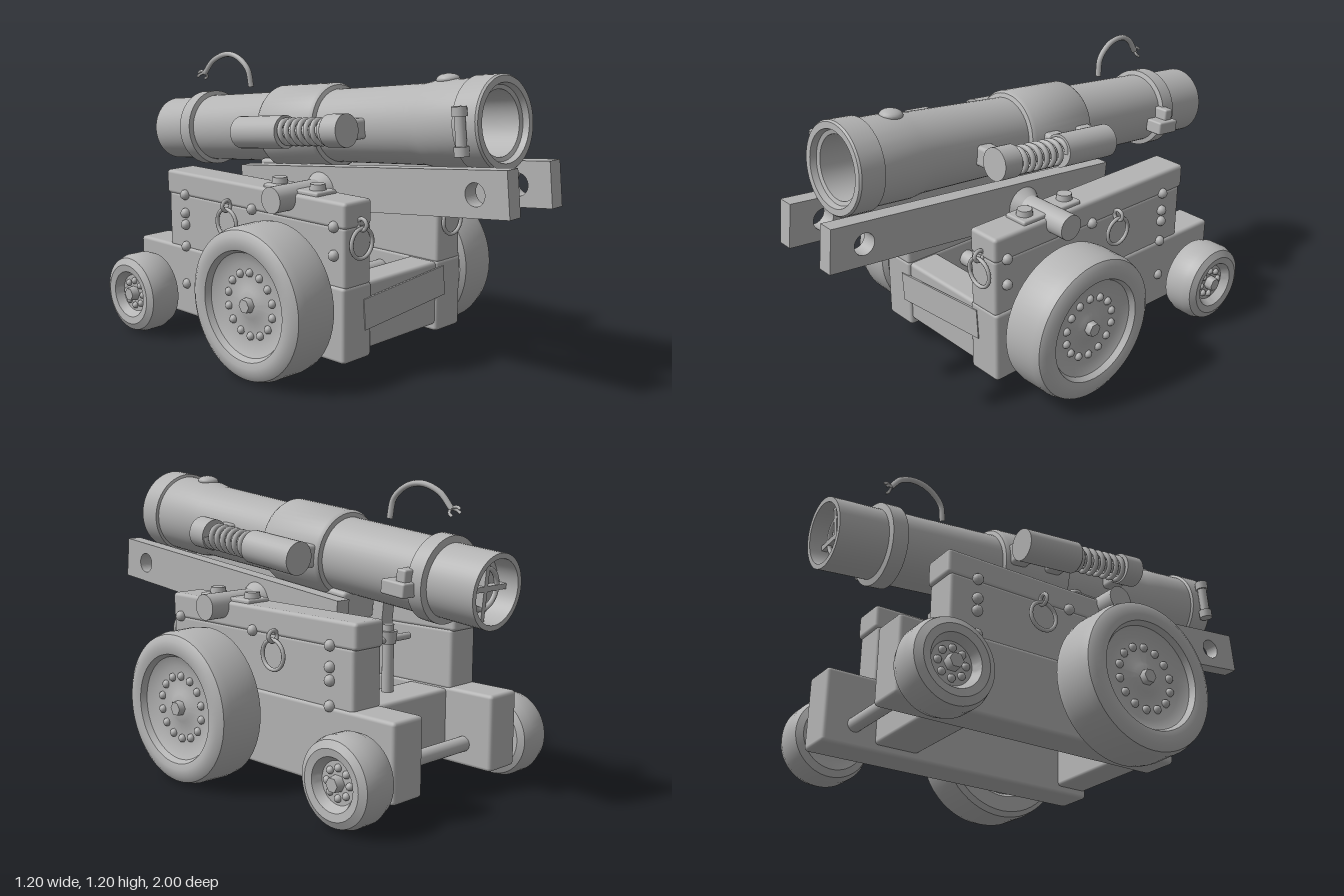
import * as THREE from 'three';
import { toCreasedNormals } from 'three/addons/utils/BufferGeometryUtils.js';
import { RoundedBoxGeometry } from 'three/addons/geometries/RoundedBoxGeometry.js';

const TILT = THREE.MathUtils.degToRad(6);
const gray = new THREE.MeshStandardMaterial({ color: 0xb4b4b4 });
gray.name = 'plain gray';

function add(parent, name, geo, x = 0, y = 0, z = 0) {
  const m = new THREE.Mesh(geo, gray);
  m.name = name;
  m.position.set(x, y, z);
  parent.add(m);
  return m;
}
// Block given by its min and max on each axis
function block(parent, name, [x0, x1], [y0, y1], [z0, z1], r = 0.015) {
  return add(parent, name, new RoundedBoxGeometry(Math.abs(x1 - x0), y1 - y0, z1 - z0, 2, r),
    (x0 + x1) / 2, (y0 + y1) / 2, (z0 + z1) / 2);
}
const lathe = (pts, seg = 48) =>
  toCreasedNormals(new THREE.LatheGeometry(pts.map(p => new THREE.Vector2(...p)), seg), 0.6);
// Cylinder along x or z
function rod(parent, name, axis, r, len, x, y, z, seg = 24) {
  const g = new THREE.CylinderGeometry(r, r, len, seg);
  if (axis === 'x') g.rotateZ(Math.PI / 2);
  if (axis === 'z') g.rotateX(Math.PI / 2);
  return add(parent, name, g, x, y, z);
}
function tube(pts, r, n) {
  return new THREE.TubeGeometry(new THREE.CatmullRomCurve3(pts), n, r, 8);
}

// Wheel whose local +y points outward
function wheel(name, s, x, y, z, profile, bolts, boltRing, boltR, face) {
  const g = new THREE.Group();
  g.name = name;
  g.position.set(s * x, y, z);
  g.rotation.z = -s * Math.PI / 2;
  add(g, 'tyre', lathe(profile, 56));
  for (let i = 0; i < bolts; i++) {
    const a = i / bolts * Math.PI * 2;
    add(g, 'wheelBolt', new THREE.SphereGeometry(boltR, 10, 8), boltRing * Math.cos(a), face, boltRing * Math.sin(a));
  }
  add(g, 'hub', new THREE.CylinderGeometry(0.028, 0.032, 0.04, 6), 0, face + 0.015, 0);
  return g;
}

// Iron ring hanging from a staple, lying in the xy plane
function hangingRing(parent, x, y, z, turn) {
  const g = new THREE.Group();
  g.name = 'tieRing';
  g.position.set(x, y, z);
  g.rotation.y = turn;
  add(g, 'ring', new THREE.TorusGeometry(0.058, 0.008, 8, 32));
  add(g, 'staple', new THREE.TorusGeometry(0.022, 0.008, 8, 16), 0, 0.072, 0).rotation.y = Math.PI / 2;
  parent.add(g);
}

function buildGun() {
  const gun = new THREE.Group();
  gun.name = 'gun';
  gun.position.y = 0.93;
  gun.rotation.x = -TILT;

  // Barrel with bands, bore and hollow breech
  add(gun, 'barrel', lathe([
    [0, -0.9], [0.12, -0.9], [0.12, -0.99], [0.14, -0.99], [0.14, -0.785], [0.165, -0.78], [0.165, -0.715],
    [0.145, -0.71], [0.148, -0.27], [0.165, -0.265], [0.174, -0.25], [0.174, 0.04], [0.165, 0.055], [0.148, 0.06],
    [0.155, 0.52], [0.165, 0.58], [0.165, 0.755], [0.176, 0.76], [0.176, 0.86], [0.17, 0.868], [0.145, 0.868],
    [0.138, 0.845], [0.122, 0.84], [0.122, -0.6], [0, -0.6]]).rotateX(Math.PI / 2));
  // Breech cross
  for (const a of [0, Math.PI / 2]) {
    add(gun, 'breechSpoke', new THREE.BoxGeometry(0.24, 0.02, 0.03), 0, 0, -0.925).rotation.z = a;
  }
  add(gun, 'breechRing', new THREE.TorusGeometry(0.075, 0.01, 8, 32), 0, 0, -0.93);
  // Knob on top and bolt beside the muzzle
  add(gun, 'topKnob', new THREE.SphereGeometry(0.045, 20, 12).scale(1, 0.5, 1), 0, 0.165, 0.62);
  add(gun, 'muzzleBolt', new THREE.CylinderGeometry(0.02, 0.02, 0.15, 16), -0.192, -0.01, 0.81);
  for (const v of [-0.08, 0.06]) {
    add(gun, 'boltEnd', new THREE.CylinderGeometry(0.028, 0.028, 0.035, 16), -0.192, v, 0.81);
  }
  // Firing lock on the breech band
  block(gun, 'lockBody', [0.13, 0.2], [-0.04, 0.045], [-0.735, -0.69], 0.008);
  block(gun, 'lockPlate', [0.14, 0.22], [-0.055, 0.0], [-0.75, -0.64], 0.008);

  for (const s of [-1, 1]) {
    // Slide rail with lifting hole
    const shape = new THREE.Shape([[-0.386, -0.32], [0.977, -0.32], [0.977, -0.147], [-0.386, -0.147]]
      .map(p => new THREE.Vector2(...p)));
    shape.holes.push(new THREE.Path().absarc(0.835, -0.235, 0.043, 0, Math.PI * 2, true));
    add(gun, 'slideRail', new THREE.ExtrudeGeometry(shape, { depth: 0.065, bevelEnabled: false, curveSegments: 24 })
      .rotateY(-Math.PI / 2), s * 0.1325 + 0.0325);

    // Recoil buffer: front cup, spring and rear cylinder
    const x = s * 0.258;
    rod(gun, 'bufferCup', 'z', 0.064, 0.085, x, 0.003, 0.29, 32);
    block(gun, 'bufferArm', [s * 0.13, s * 0.25], [-0.04, 0.04], [0.25, 0.325]);
    rod(gun, 'bufferRod', 'z', 0.024, 0.3, x, 0, 0.13);
    const coil = [];
    for (let i = 0; i <= 84; i++) {
      const a = i / 12 * Math.PI * 2;
      coil.push(new THREE.Vector3(0.046 * Math.cos(a), 0.046 * Math.sin(a), i / 84 * 0.25));
    }
    add(gun, 'bufferSpring', tube(coil, 0.011, 168), x, 0, 0);
    rod(gun, 'bufferCylinder', 'z', 0.066, 0.26, x, 0, -0.125, 32);
    for (const z of [-0.21, -0.04]) block(gun, 'cylinderArm', [s * 0.14, s * 0.26], [-0.045, 0.045], [z - 0.04, z + 0.04]);
  }
  // Cross pieces under the barrel
  block(gun, 'slideBlock', [-0.09, 0.09], [-0.25, -0.13], [-0.35, -0.23]);
  rod(gun, 'slidePin', 'x', 0.02, 0.36, 0, -0.285, -0.34);
  return gun;
}

function buildCarriage() {
  const c = new THREE.Group();
  c.name = 'carriage';
  for (const s of [-1, 1]) {
    // Stacked cheek planks
    block(c, 'lowerCheek', [s * 0.2, s * 0.357], [0.09, 0.392], [-0.83, 0.41]);
    block(c, 'middleCheek', [s * 0.203, s * 0.35], [0.38, 0.622], [-0.63, 0.408]);
    block(c, 'upperCheek', [s * 0.203, s * 0.352], [0.612, 0.715], [-0.642, 0.41]);

    // Trunnion and its cap with bolts
    rod(c, 'trunnion', 'x', 0.052, 0.335, s * 0.2675, 0.695, 0.1, 32);
    const collar = add(c, 'trunnionCollar', new THREE.CylinderGeometry(0.05, 0.075, 0.04, 32), s * 0.185, 0.695, 0.1);
    collar.rotation.z = -s * Math.PI / 2;
    block(c, 'trunnionCap', [s * 0.225, s * 0.335], [0.7, 0.73], [-0.05, 0.25], 0.008);
    for (const z of [-0.01, 0.2]) add(c, 'capBolt', new THREE.CylinderGeometry(0.03, 0.035, 0.03, 12), s * 0.28, 0.738, z);

    // Side rivets
    for (const [z, y] of [[0.355, 0.62], [0.355, 0.51], [-0.095, 0.62], [-0.515, 0.62], [-0.515, 0.54],
      [-0.515, 0.49], [-0.515, 0.395], [-0.515, 0.23], [0.2, 0.4], [0.02, 0.23]]) {
      add(c, 'rivet', new THREE.SphereGeometry(0.022, 12, 8), s * 0.355, y, z);
    }
    // Tie rings on the front and side
    hangingRing(c, s * 0.275, 0.555, 0.425, 0);
    hangingRing(c, s * 0.372, 0.545, -0.23, Math.PI / 2);

    // Wheels
    c.add(wheel('frontWheel', s, 0, 0.31, 0.105, [
      [0, 0.405], [0.2, 0.405], [0.215, 0.388], [0.28, 0.388], [0.3, 0.405], [0.305, 0.44], [0.303, 0.55],
      [0.293, 0.582], [0.27, 0.597], [0.24, 0.6], [0.217, 0.593], [0.205, 0.57], [0.165, 0.55], [0.07, 0.55],
      [0.055, 0.558], [0, 0.558]], 14, 0.125, 0.017, 0.55));
    c.add(wheel('rearWheel', s, 0, 0.18, -0.7, [
      [0, 0.38], [0.09, 0.38], [0.13, 0.372], [0.157, 0.385], [0.17, 0.42], [0.17, 0.485], [0.158, 0.52],
      [0.13, 0.535], [0.1, 0.53], [0.088, 0.51], [0.08, 0.497], [0, 0.497]], 8, 0.055, 0.015, 0.497));
  }
  // Axles
  rod(c, 'frontAxle', 'x', 0.035, 0.84, 0, 0.31, 0.105);
  rod(c, 'rearAxle', 'x', 0.03, 0.8, 0, 0.18, -0.7);
  // Cross beams and nailed plank
  block(c, 'frontBeam', [-0.21, 0.21], [0.12, 0.388], [0.26, 0.402]);
  add(c, 'nailedPlank', new THREE.BoxGeometry(0.49, 0.125, 0.008), 0, 0.285, 0.41).rotation.z = 0.08;
  block(c, 'rearBeam', [-0.21, 0.21], [0.12, 0.385], [-0.61, -0.42]);
  // Elevating post
  add(c, 'elevatingPost', new THREE.CylinderGeometry(0.023, 0.023, 0.3, 20), 0, 0.5, -0.48);
  add(c, 'postHead', new THREE.CylinderGeometry(0.036, 0.03, 0.05, 20), 0, 0.6, -0.48);
  rod(c, 'postHandle', 'x', 0.014, 0.24, 0, 0.59, -0.48);
  return c;
}

export function createModel() {
  const model = new THREE.Group();
  model.name = 'cannon';
  model.add(buildCarriage(), buildGun());
  // Curved fuse cord with a frayed tip
  const V = (x, y, z) => new THREE.Vector3(x, y, z);
  add(model, 'fuse', tube([V(-0.005, 1.055, -0.475), V(-0.01, 1.13, -0.49), V(-0.015, 1.18, -0.55), V(-0.02, 1.19, -0.62),
    V(-0.035, 1.16, -0.69), V(-0.045, 1.1, -0.74)], 0.012, 40));
  for (const [x, y, z] of [[-0.06, 1.085, -0.77], [-0.03, 1.075, -0.755], [-0.05, 1.1, -0.775]]) {
    add(model, 'fuseStrand', tube([V(-0.045, 1.105, -0.735), V(x, y + 0.01, z + 0.015), V(x, y, z)], 0.006, 6));
  }
  return model;
}
